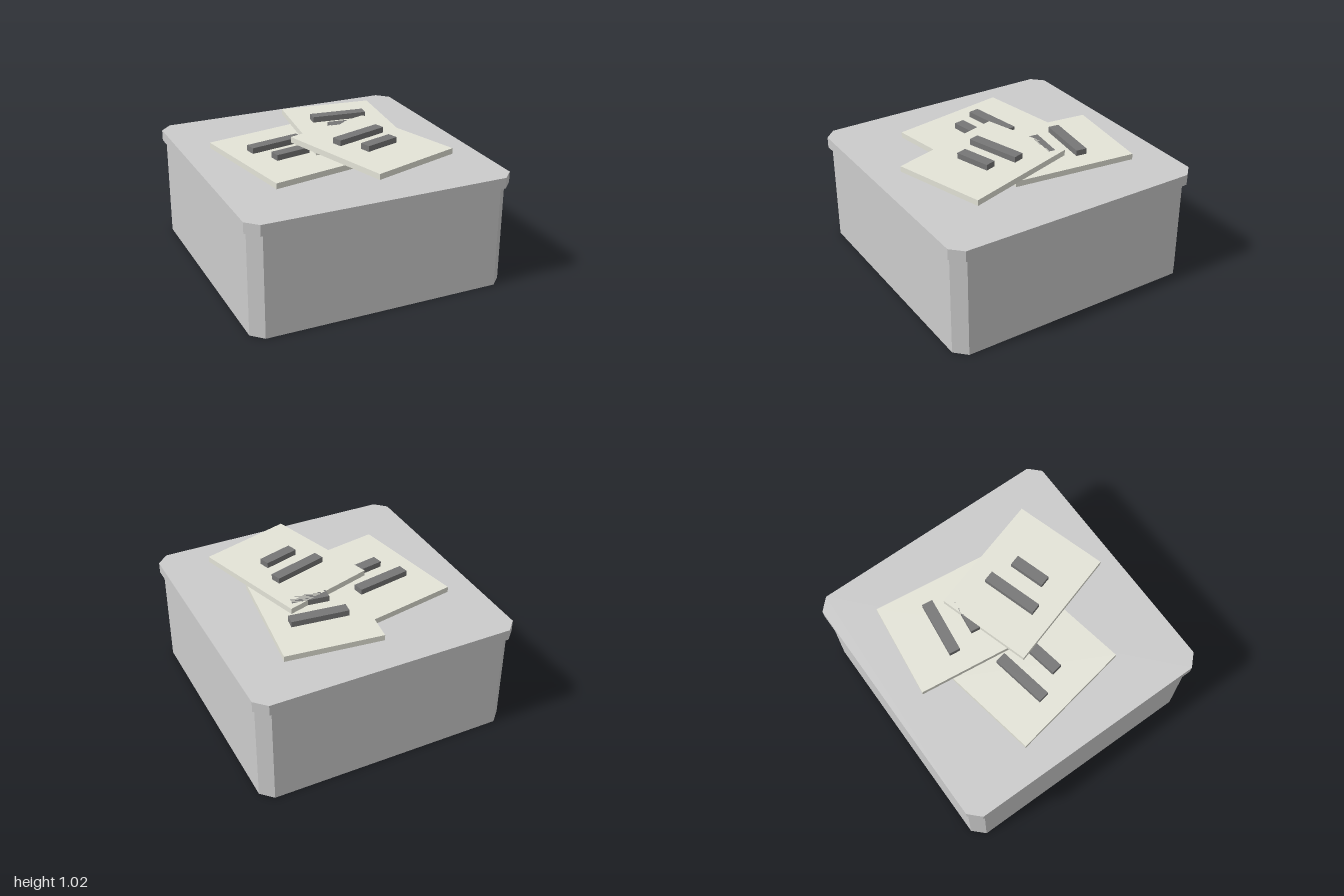
import * as THREE from 'three';

const grey = new THREE.MeshStandardMaterial({ color: 0xcccccc, flatShading: true });
const paper = new THREE.MeshStandardMaterial({ color: 0xe4e4d8, flatShading: true });
const ink = new THREE.MeshStandardMaterial({ color: 0x777777, flatShading: true });

// Square slab with chamfered corners, standing on y
function chamferedSlab(name, half, cut, y, height) {
  const a = half, b = half - cut;
  const outline = [[b, -a], [a, -b], [a, b], [b, a], [-b, a], [-a, b], [-a, -b], [-b, -a]];
  const shape = new THREE.Shape(outline.map(([x, z]) => new THREE.Vector2(x, z)));
  const geometry = new THREE.ExtrudeGeometry(shape, { depth: height, bevelEnabled: false });
  geometry.rotateX(-Math.PI / 2);
  const mesh = new THREE.Mesh(geometry, grey);
  mesh.name = name;
  mesh.position.y = y;
  return mesh;
}

// Box standing on y
function block(name, material, w, h, d, y, z) {
  const mesh = new THREE.Mesh(new THREE.BoxGeometry(w, h, d), material);
  mesh.name = name;
  mesh.position.set(0, y + h / 2, z);
  return mesh;
}

// Sheet carrying one long and one short raised line
function sheet(name, x, y, z, degrees) {
  const t = 0.043;
  const group = new THREE.Group();
  group.name = name;
  group.add(
    block('page', paper, 0.72, t, 0.935, 0, 0),
    block('longLine', ink, 0.425, t, 0.082, t, -0.129),
    block('shortLine', ink, 0.276, t, 0.082, t, 0.085),
  );
  group.position.set(x, y, z);
  group.rotation.y = THREE.MathUtils.degToRad(degrees);
  return group;
}

export function createModel() {
  const model = new THREE.Group();
  model.name = 'boxWithSheets';
  // Box and overhanging lid
  model.add(chamferedSlab('boxBody', 0.977, 0.085, 0, 0.77));
  model.add(chamferedSlab('lid', 1, 0.085, 0.77, 0.081));
  // Fanned stack of sheets, lowest first
  model.add(sheet('leftSheet', -0.342, 0.851, -0.002, 10.2));
  model.add(sheet('backSheet', 0.252, 0.894, -0.258, -6.8));
  model.add(sheet('frontSheet', 0.21, 0.937, 0.295, 17));
  return model;
}
